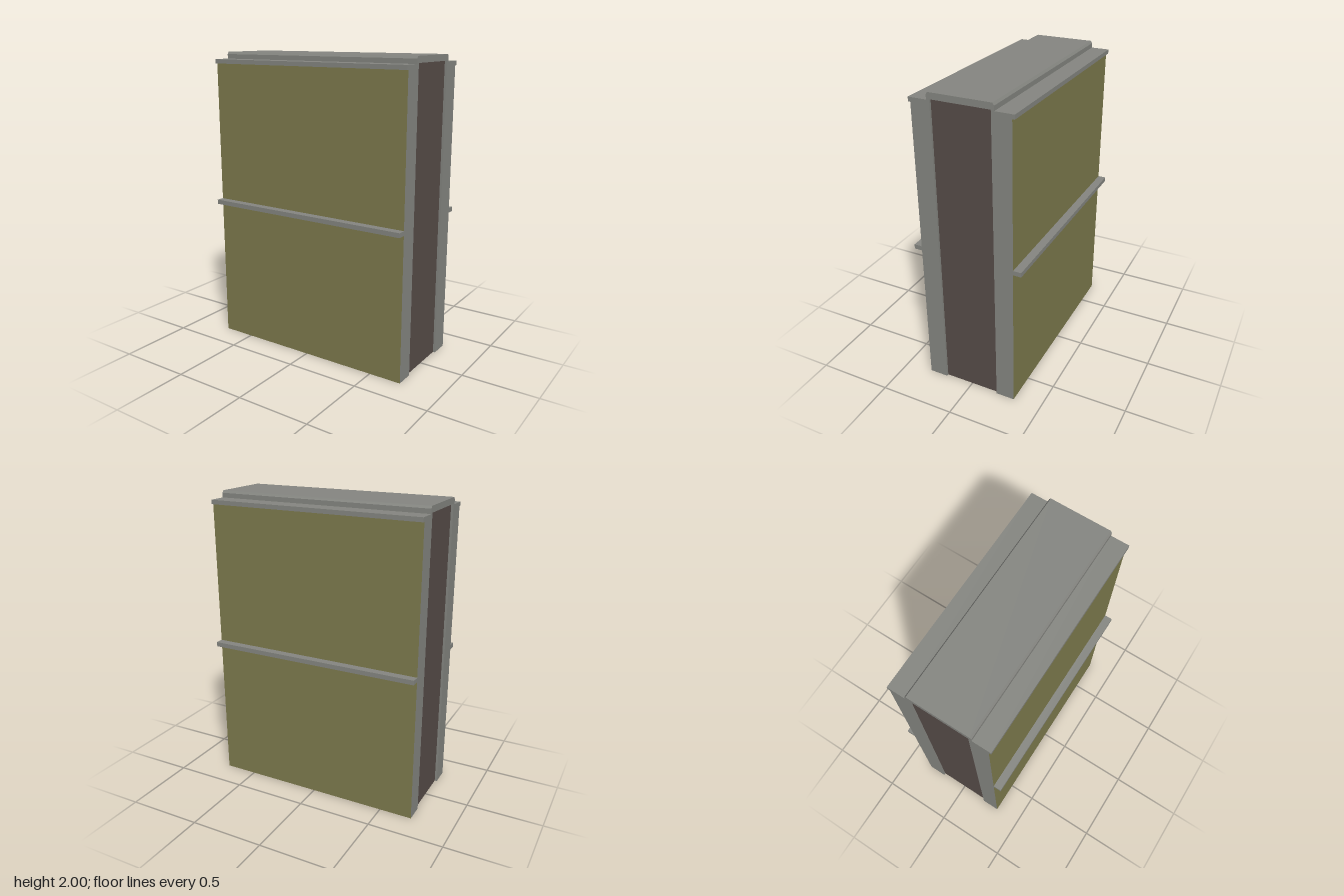
import * as THREE from 'three';

const W = 0.72;        // half length along x
const DEPTH = 0.315;   // wall face
const RECESS = 0.015;  // depth of the end panels
const NOTCH = 0.19, NOTCH_TOP = 1.96;

function material(name, color) {
  const m = new THREE.MeshStandardMaterial({ color, side: THREE.DoubleSide });
  m.name = name;
  return m;
}

// Sweeps a line of [z, y] points along x, with flat faces
function strip(points, x0 = -W, x1 = W) {
  const pos = [];
  for (let i = 0; i < points.length - 1; i++) {
    const [az, ay] = points[i], [bz, by] = points[i + 1];
    const a = [x0, ay, az], b = [x1, ay, az], c = [x1, by, bz], d = [x0, by, bz];
    pos.push(...a, ...b, ...c, ...a, ...c, ...d);
  }
  const g = new THREE.BufferGeometry();
  g.setAttribute('position', new THREE.Float32BufferAttribute(pos, 3));
  g.computeVertexNormals();
  return g;
}

// Mirrors a [z, y] line to the back, keeping its faces outward
const mirror = (pts) => pts.map(([z, y]) => [-z, y]).reverse();

export function createModel() {
  const group = new THREE.Group();
  const olive = material('olive wall', 0x7d7a4d);
  const grey = material('grey trim', 0x848580);
  const brown = material('brown panel', 0x564c48);
  const add = (name, geometry, mat) => {
    const mesh = new THREE.Mesh(geometry, mat);
    mesh.name = name;
    group.add(mesh);
    return mesh;
  };

  const lowerWall = [[DEPTH, 0], [DEPTH, 0.965]];
  const rail = [[DEPTH, 0.965], [0.368, 0.965], [0.368, 0.995], [DEPTH, 0.995]];
  const upperWall = [[DEPTH, 0.995], [DEPTH, 1.927]];
  const ledge = [[DEPTH, 1.927], [0.33, 1.927], [0.33, 1.955], [0.21, 1.955],
    [0.21, 1.985], [0.2, 2]];

  // Front and back walls with their middle rails
  for (const [side, f] of [['front', (p) => p], ['back', mirror]]) {
    add(side + 'LowerWall', strip(f(lowerWall)), olive);
    add(side + 'UpperWall', strip(f(upperWall)), olive);
    add(side + 'Rail', strip(f(rail)), grey);
  }

  // Stepped cap over the top
  add('cap', strip([...ledge, ...mirror(ledge)]), grey);

  // End frames follow the whole cross-section, leaving a tall notch
  const half = [...lowerWall, ...rail, ...upperWall, ...ledge];
  const notch = [[-NOTCH, 0], [-NOTCH, NOTCH_TOP], [NOTCH, NOTCH_TOP], [NOTCH, 0]];
  const outline = [...half, ...mirror(half), ...notch]
    .filter((p, i, a) => i === 0 || p[0] !== a[i - 1][0] || p[1] !== a[i - 1][1])
    .map(([z, y]) => new THREE.Vector2(z, y));

  for (const [side, s] of [['left', 1], ['right', -1]]) {
    const frame = new THREE.ShapeGeometry(new THREE.Shape(outline));
    add(side + 'EndFrame', frame.rotateY(s * Math.PI / 2).translate(s * W, 0, 0), grey);

    // Recess sides and the panel set into them
    const inner = W - RECESS;
    add(side + 'Reveal', s > 0 ? strip(notch, inner, W) : strip(notch, -W, -inner), grey);
    const panel = new THREE.PlaneGeometry(2 * NOTCH, NOTCH_TOP);
    add(side + 'EndPanel', panel.rotateY(s * Math.PI / 2)
      .translate(s * inner, NOTCH_TOP / 2, 0), brown);
  }
  return group;
}
